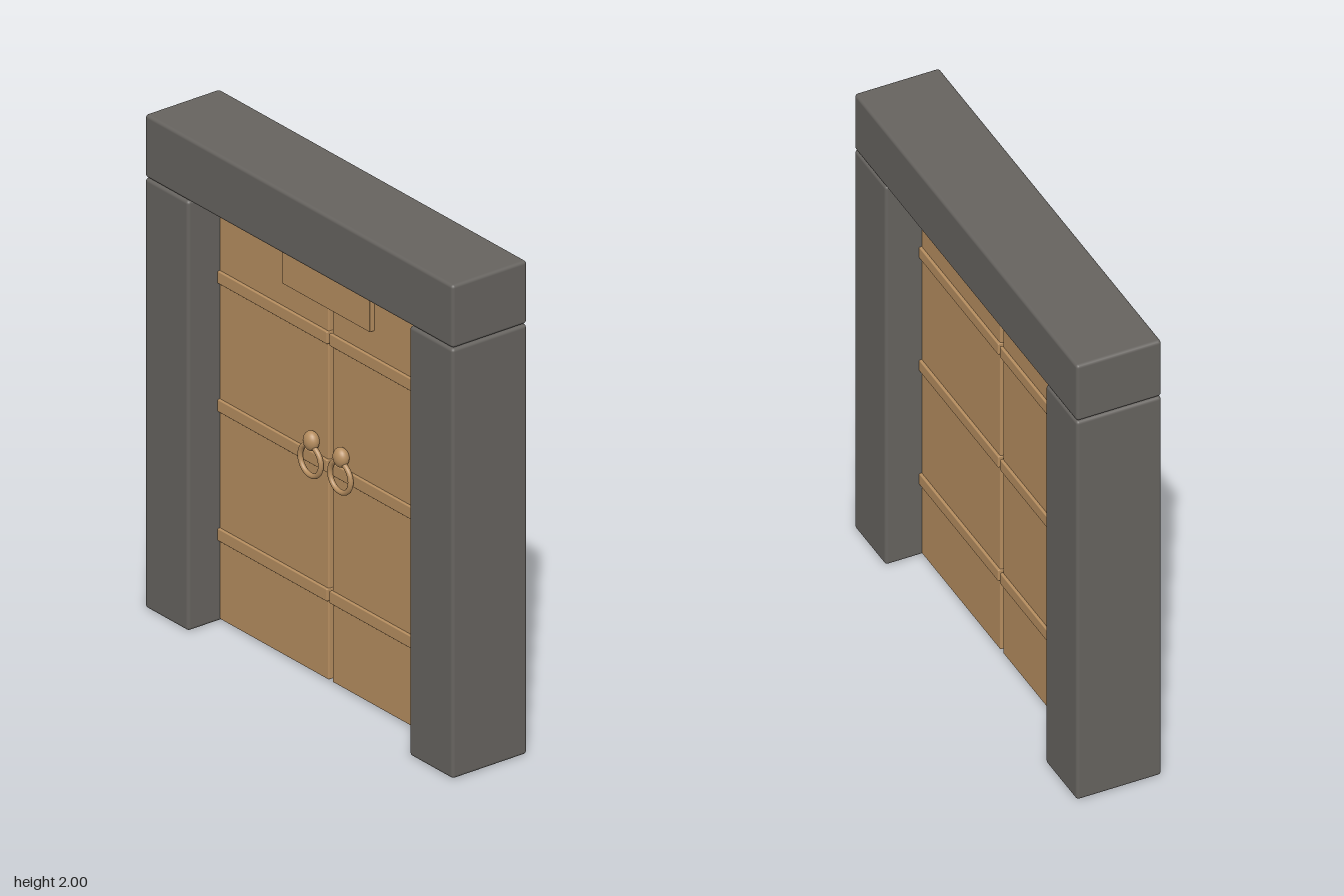
import * as THREE from 'three';
import { RoundedBoxGeometry } from 'three/addons/geometries/RoundedBoxGeometry.js';

export function createModel() {
  const model = new THREE.Group();
  model.name = 'gate';

  const stone = new THREE.MeshStandardMaterial({ color: 0x66635f });
  stone.name = 'dark stone';
  const wood = new THREE.MeshStandardMaterial({ color: 0xb58d5f });
  wood.name = 'tan wood';

  const add = (name, geometry, material, x, y, z) => {
    const mesh = new THREE.Mesh(geometry, material);
    mesh.name = name;
    mesh.position.set(x, y, z);
    model.add(mesh);
    return mesh;
  };

  // Box given by its limits on each axis, with softened edges
  const block = (name, material, [x0, x1], [y0, y1], [z0, z1], radius) =>
    add(name, new RoundedBoxGeometry(x1 - x0, y1 - y0, z1 - z0, 2, radius), material,
      (x0 + x1) / 2, (y0 + y1) / 2, (z0 + z1) / 2);

  // Mirrored limits on x for the left (+1) and right (-1) half
  const span = (side, inner, outer) => side > 0 ? [inner, outer] : [-outer, -inner];

  // Stone frame
  block('lintel', stone, [-0.91, 0.91], [1.745, 2], [-0.173, 0.173], 0.013);

  for (const side of [1, -1]) {
    const label = side > 0 ? 'left' : 'right';
    block(label + 'Post', stone, span(side, 0.653, 0.91), [0, 1.742], [-0.173, 0.173], 0.013);

    // Door leaf with bands that stand out on both faces
    block(label + 'Leaf', wood, span(side, 0.01, 0.655), [0.006, 1.722], [-0.026, 0.026], 0.006);
    for (const y of [0.353, 0.876, 1.396]) {
      block(label + 'Band', wood, span(side, 0.007, 0.655), [y - 0.025, y + 0.025], [-0.037, 0.037], 0.004);
    }

    // Pull ring hanging from an oval knob
    add(label + 'PullRing', new THREE.TorusGeometry(0.061, 0.0105, 12, 40), wood, side * 0.088, 0.875, 0.049);
    const knob = add(label + 'Knob', new THREE.SphereGeometry(0.035, 24, 16), wood, side * 0.088, 0.953, 0.046);
    knob.scale.set(1, 1.12, 0.8);
  }

  // Plain board over the top of the seam
  block('headBoard', wood, [-0.26, 0.26], [1.525, 1.745], [0.018, 0.047], 0.003);

  return model;
}
